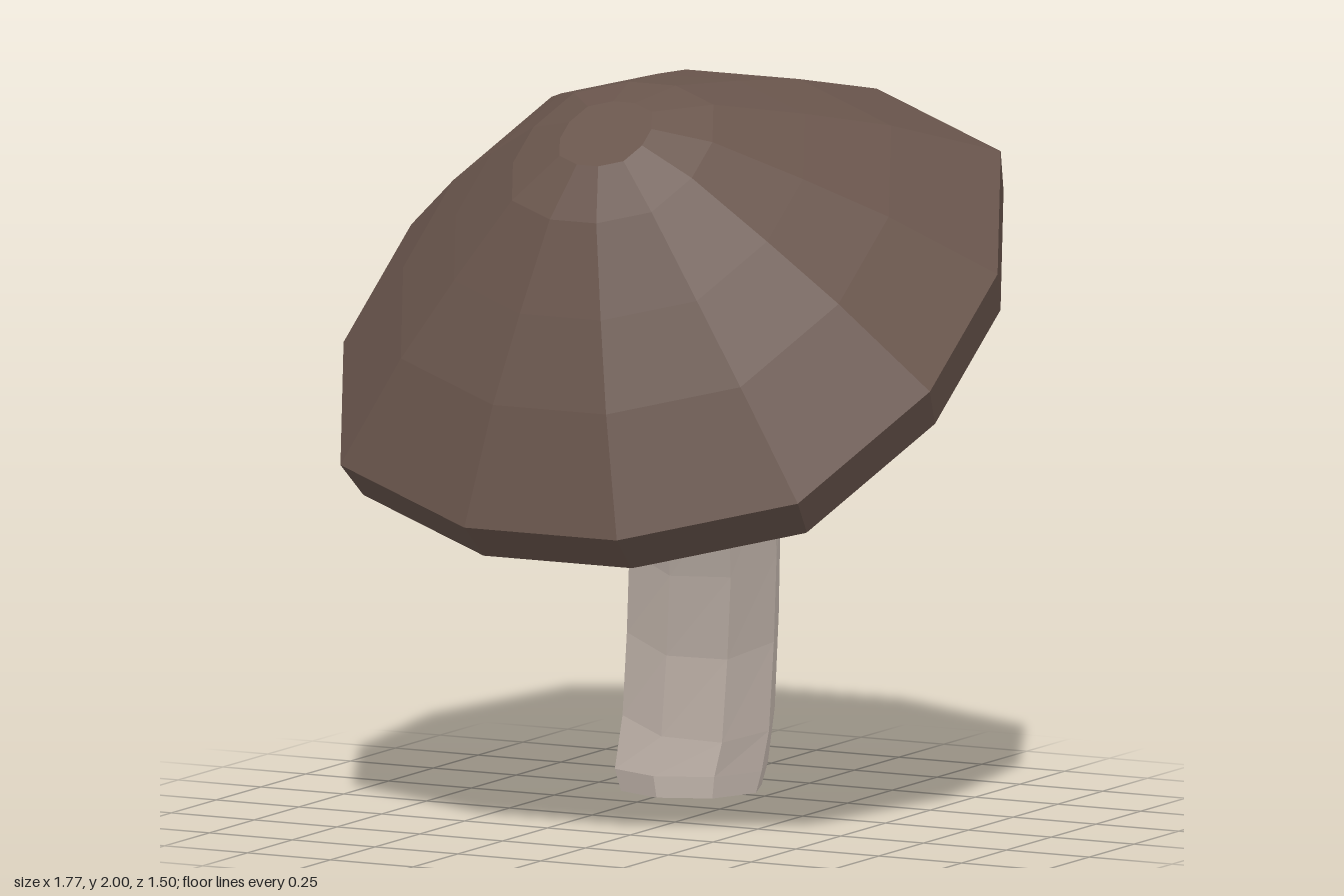
import * as THREE from 'three';

// Joins rings (listed bottom to top, counter-clockwise from above) into a faceted skin.
function loft(rings, closeBottom, closeTop) {
  const pos = [];
  const tri = (...pts) => pts.forEach((p) => pos.push(p.x, p.y, p.z));
  for (let k = 0; k < rings.length - 1; k++) {
    const lo = rings[k], up = rings[k + 1], n = lo.length;
    for (let i = 0; i < n; i++) {
      const j = (i + 1) % n;
      tri(lo[i], lo[j], up[j]);
      tri(lo[i], up[j], up[i]);
    }
  }
  const fan = (ring, flip) => {
    for (let i = 1; i < ring.length - 1; i++) {
      if (flip) tri(ring[0], ring[i + 1], ring[i]);
      else tri(ring[0], ring[i], ring[i + 1]);
    }
  };
  if (closeBottom) fan(rings[0], true);
  if (closeTop) fan(rings[rings.length - 1], false);
  const g = new THREE.BufferGeometry();
  g.setAttribute('position', new THREE.Float32BufferAttribute(pos, 3));
  g.computeVertexNormals();
  return g;
}

// Twelve-sided cap outline, slightly squared at the diagonals.
function capRing(r, y) {
  const corners = [[0.26, 1], [0.78, 0.78], [1, 0.26]];
  const ring = [];
  for (let q = 0; q < 4; q++) {
    const c = Math.round(Math.cos(q * Math.PI / 2)), s = Math.round(Math.sin(q * Math.PI / 2));
    for (const [x, z] of corners) {
      ring.push(new THREE.Vector3((x * c + z * s) * r, y, (z * c - x * s) * r));
    }
  }
  return ring;
}

// Eight-sided ring set square to the stem's direction.
function stemRing(center, tangent, r) {
  const right = new THREE.Vector3(1, 0, 0).addScaledVector(tangent, -tangent.x).normalize();
  const front = right.clone().cross(tangent);
  return Array.from({ length: 8 }, (_, i) => {
    const a = i * Math.PI / 4;
    return center.clone()
      .addScaledVector(right, r * Math.sin(a))
      .addScaledVector(front, r * Math.cos(a));
  });
}

export function createModel() {
  const group = new THREE.Group();
  const paint = (color) => new THREE.MeshStandardMaterial({ color, flatShading: true });
  const brown = paint(0x69554c), cream = paint(0xd1c3b9);
  const add = (parent, name, geometry, material) => {
    const mesh = new THREE.Mesh(geometry, material);
    mesh.name = name;
    parent.add(mesh);
  };

  // Bent stem with a small bevel at the foot
  const path = [
    [-0.24, 0.06, -0.535], [-0.21, 0.21, -0.52], [-0.165, 0.46, -0.46], [-0.11, 0.71, -0.37],
    [-0.06, 0.96, -0.255], [-0.02, 1.19, -0.11], [0, 1.35, 0.01],
  ].map((p) => new THREE.Vector3(...p));
  const up = new THREE.Vector3(0, 1, 0);
  const rings = [stemRing(new THREE.Vector3(-0.24, 0, -0.535), up, 0.195)];
  path.forEach((p, i) => {
    const next = path[Math.min(i + 1, path.length - 1)], prev = path[Math.max(i - 1, 0)];
    const tangent = i === 0 ? up : next.clone().sub(prev).normalize();
    rings.push(stemRing(p, tangent, 0.212));
  });
  add(group, 'stem', loft(rings, true, true), cream);

  // Tilted cap: rim bevels, dome and flat crown
  const cap = new THREE.Group();
  cap.name = 'cap';
  cap.position.set(0, 1.385, 0.025);
  cap.rotation.x = 0.609;
  const profile = [
    [0.8, -0.176], [0.858, -0.126], [0.885, 0], [0.657, 0.24],
    [0.47, 0.403], [0.27, 0.565], [0.124, 0.633],
  ];
  add(cap, 'capTop', loft(profile.map(([r, y]) => capRing(r, y)), false, true), brown);
  // Pale flat underside
  add(cap, 'capUnderside', loft([capRing(...profile[0])], true, false), cream);
  group.add(cap);
  return group;
}
